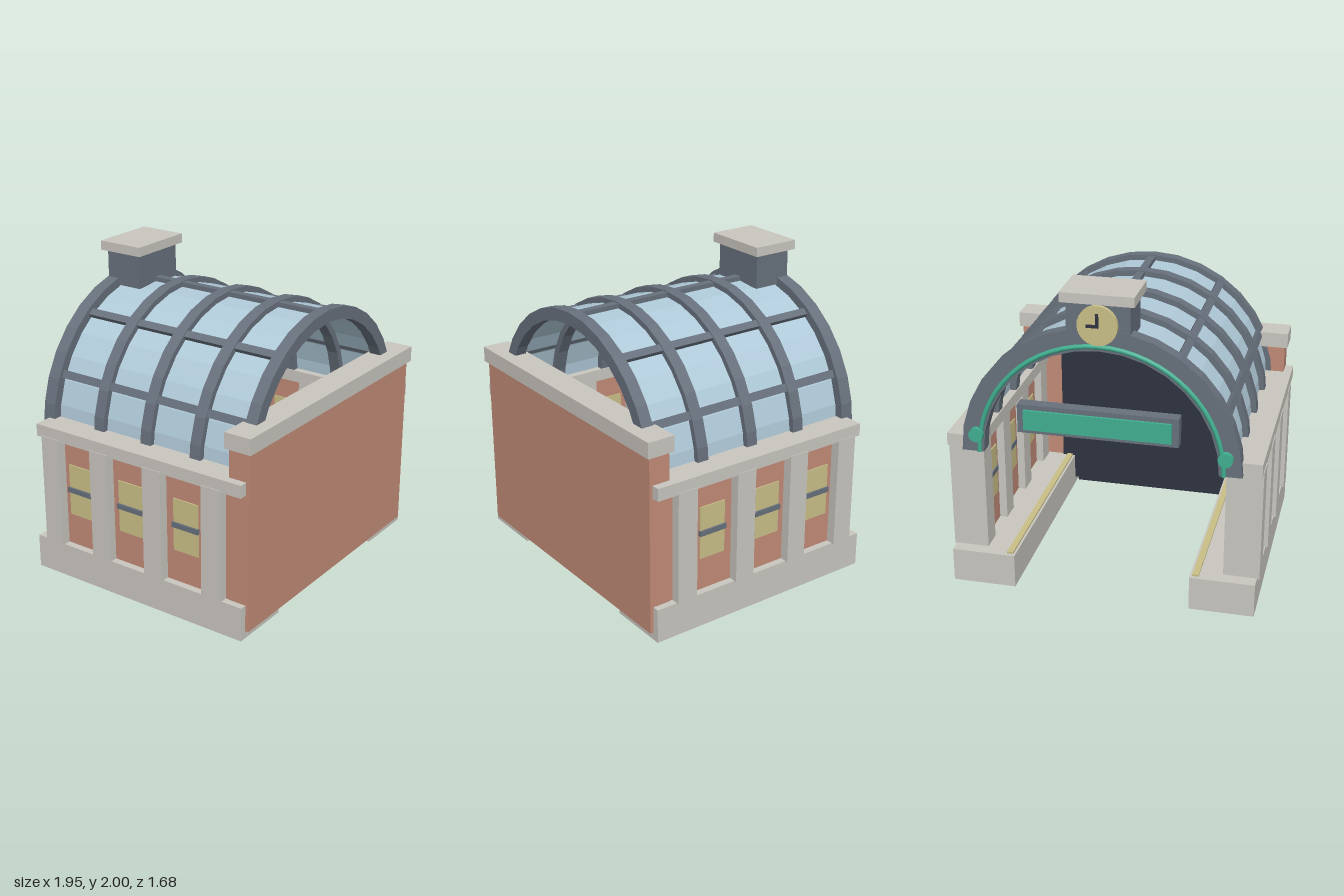
import * as THREE from 'three';

const mat = (name, color, extra = {}) => {
  const m = new THREE.MeshStandardMaterial({ color, ...extra });
  m.name = name;
  return m;
};

export function createModel() {
  const stone = mat('stone', 0xc9c6bf);
  const stoneShell = mat('stone', 0xc9c6bf, { side: THREE.DoubleSide });
  const brick = mat('brick', 0xc18b76);
  const iron = mat('iron', 0x67707c, { flatShading: true });
  const glass = mat('glass', 0xb0cad9, { flatShading: true, side: THREE.DoubleSide });
  const cream = mat('cream', 0xc9bf87);
  const teal = mat('teal', 0x40ae8f);
  const navy = mat('navy', 0x2f3341);

  const root = new THREE.Group();
  root.name = 'stationHall';

  const add = (name, geo, material, parent = root) => {
    const m = new THREE.Mesh(geo, material);
    m.name = name;
    parent.add(m);
    return m;
  };
  // Box given by its minimum and maximum on each axis
  const box = (name, material, x0, x1, y0, y1, z0, z1, parent = root) => {
    const m = add(name, new THREE.BoxGeometry(x1 - x0, y1 - y0, z1 - z0), material, parent);
    m.position.set((x0 + x1) / 2, (y0 + y1) / 2, (z0 + z1) / 2);
    return m;
  };
  // The same box on both sides of the hall
  const pair = (name, material, x0, x1, ...rest) => {
    box(name + 'Left', material, x0, x1, ...rest);
    box(name + 'Right', material, -x1, -x0, ...rest);
  };

  // Plinths, open underneath
  for (const s of [1, -1]) {
    const g = new THREE.BoxGeometry(0.403, 0.22, 1.58);
    const idx = Array.from(g.index.array);
    idx.splice(18, 6); // drop the bottom face
    g.setIndex(idx);
    g.clearGroups();
    add('plinth', g, stoneShell).position.set(s * 0.7565, 0.11, 0.01);
  }
  pair('platformEdge', cream, 0.57, 0.61, 0.218, 0.232, -0.755, 0.68);

  // Side walls with pilasters, cornice and windows
  pair('sideWall', brick, 0.80, 0.912, 0.2, 0.95, -0.68, 0.785);
  pair('cornice', stone, 0.745, 0.968, 0.93, 1.01, -0.737, 0.80);
  for (const z of [0.593, 0.163, -0.242, -0.628])
    pair('pilaster', stone, 0.75, 0.973, 0.215, 0.94, z - 0.068, z + 0.068);
  for (const z of [0.375, -0.041, -0.437]) {
    pair('window', cream, 0.792, 0.92, 0.43, 0.77, z - 0.09, z + 0.09);
    pair('windowBar', iron, 0.785, 0.932, 0.585, 0.618, z - 0.096, z + 0.096);
  }

  // Closed end wall with coping and dark inner panel
  box('endWall', brick, -0.915, 0.915, 0.048, 1.2, 0.683, 0.822);
  box('endCoping', stone, -0.935, 0.935, 1.19, 1.29, 0.662, 0.842);
  box('tunnelPanel', navy, -0.64, 0.64, 0.048, 1.15, 0.668, 0.69);
  box('trackBed', navy, -0.53, 0.53, 0.026, 0.046, 0.668, 0.79);

  // Vaulted roof
  const CY = 0.932, SEG = 16;
  const roof = new THREE.Group();
  roof.name = 'roof';
  roof.position.y = CY;
  root.add(roof);

  const arch = (name, rIn, rOut, z0, z1) => {
    const pts = [];
    for (let i = 0; i <= SEG; i++) {
      const a = Math.PI * i / SEG;
      pts.push(new THREE.Vector2(rOut * Math.cos(a), rOut * Math.sin(a)));
    }
    for (let i = SEG; i >= 0; i--) {
      const a = Math.PI * i / SEG;
      pts.push(new THREE.Vector2(rIn * Math.cos(a), rIn * Math.sin(a)));
    }
    const g = new THREE.ExtrudeGeometry(new THREE.Shape(pts), { depth: z1 - z0, bevelEnabled: false });
    add(name, g, iron, roof).position.z = z0;
  };
  for (const z of [0.72, 0.38, 0.014, -0.347]) arch('rib', 0.76, 0.838, z - 0.038, z + 0.038);
  arch('portalArch', 0.718, 0.855, -0.78, -0.694);

  const vault = new THREE.CylinderGeometry(0.803, 0.803, 1.44, SEG, 1, true, -Math.PI / 2, Math.PI);
  vault.rotateX(Math.PI / 2).rotateZ(Math.PI); // half tube lying along z
  add('glassVault', vault, glass, roof).position.z = 0.03;

  for (const deg of [25, 55.5, 90, 124.5, 155]) {
    const a = deg * Math.PI / 180;
    const p = box('purlin', iron, -0.015, 0.015, -0.025, 0.025, -0.70, 0.757, roof);
    p.position.set(0.815 * Math.cos(a), 0.815 * Math.sin(a), 0.03);
    p.rotation.z = a;
  }

  // Teal trim around the portal, with end bosses
  add('portalTrim', new THREE.TorusGeometry(0.745, 0.015, 8, 32, Math.PI), teal, roof)
    .position.z = -0.78;
  for (const s of [1, -1]) {
    const boss = add('trimBoss', new THREE.CylinderGeometry(0.045, 0.045, 0.05, 16), teal);
    boss.rotation.x = Math.PI / 2;
    boss.position.set(s * 0.757, 1.05, -0.788);
  }

  // Blank sign board hanging in the portal
  box('signFrame', iron, -0.485, 0.485, 1.11, 1.29, -0.825, -0.75);
  box('signPanel', teal, -0.445, 0.445, 1.135, 1.26, -0.842, -0.82);

  // Clock turret
  box('turret', iron, -0.19, 0.19, 1.72, 1.945, -0.775, -0.524);
  box('turretCap', stone, -0.22, 0.22, 1.94, 2.0, -0.808, -0.495);
  const dial = add('clockDial', new THREE.CylinderGeometry(0.12, 0.12, 0.035, 24), cream);
  dial.rotation.x = Math.PI / 2;
  dial.position.set(0, 1.81, -0.785);
  box('minuteHand', navy, -0.009, 0.009, 1.80, 1.885, -0.811, -0.802);
  box('hourHand', navy, -0.009, 0.065, 1.80, 1.818, -0.811, -0.802);

  return root;
}
